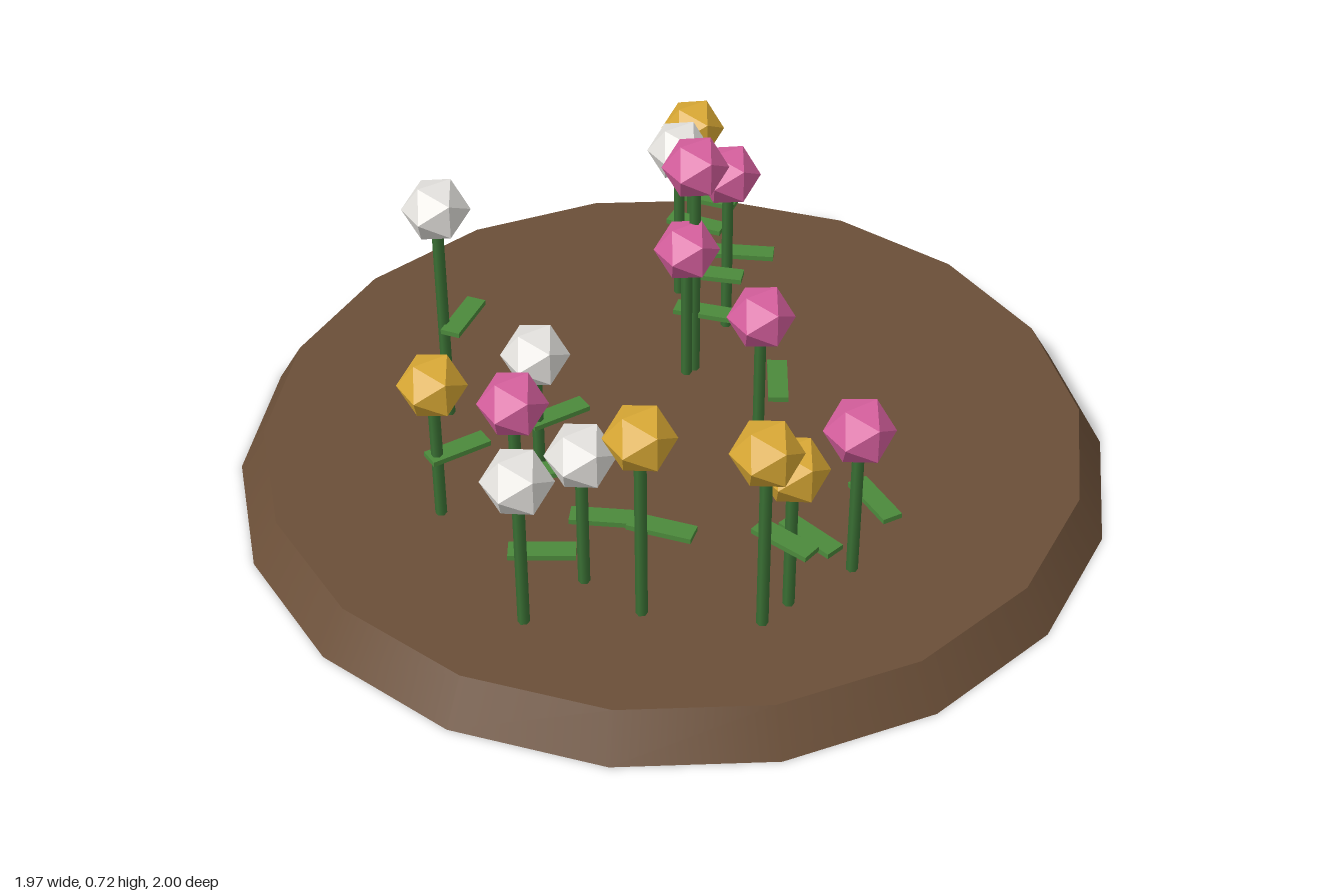
import * as THREE from 'three';

const paint = (color, flatShading = false) => new THREE.MeshStandardMaterial({ color, flatShading });

const BED_TOP = 0.1;

// x, z, blossom height, blossom colour
const FLOWERS = [
  [0.38, -0.51, 0.50, 'gold'],
  [0.29, -0.43, 0.51, 'white'],
  [0.31, -0.25, 0.53, 'pink'],
  [0.15, -0.145, 0.66, 'pink'],
  [0.125, -0.14, 0.45, 'pink'],
  [0.115, 0.175, 0.455, 'pink'],
  [0.045, 0.635, 0.475, 'pink'],
  [-0.13, 0.65, 0.46, 'gold'],
  [-0.21, 0.67, 0.55, 'gold'],
  [-0.405, 0.51, 0.565, 'gold'],
  [-0.455, 0.36, 0.44, 'white'],
  [-0.625, 0.4, 0.475, 'white'],
  [-0.505, 0.17, 0.47, 'pink'],
  [-0.605, 0, 0.45, 'gold'],
  [-0.355, 0, 0.43, 'white'],
  [-0.42, -0.305, 0.66, 'white'],
];

export function createModel() {
  const model = new THREE.Group();
  model.name = 'flowerBed';

  const add = (parent, name, geometry, material, x, y, z) => {
    const mesh = new THREE.Mesh(geometry, material);
    mesh.name = name;
    mesh.position.set(x, y, z);
    parent.add(mesh);
    return mesh;
  };

  // Soil mound
  add(model, 'soil', new THREE.CylinderGeometry(0.94, 1, BED_TOP, 18), paint(0x6b4f38), 0, BED_TOP / 2, 0);

  const stemPaint = paint(0x3a7034);
  const leafPaint = paint(0x4c8a3c);
  const petals = { gold: paint(0xdbaa35, true), white: paint(0xe6e4e0, true), pink: paint(0xd8609f, true) };
  const blossomShape = new THREE.IcosahedronGeometry(0.076, 0);
  const leafShape = new THREE.BoxGeometry(0.14, 0.012, 0.045);

  // Flowers: stem, one flat leaf beside it, faceted blossom
  for (const [x, z, top, color] of FLOWERS) {
    const flower = new THREE.Group();
    flower.name = 'flower';
    flower.position.set(x, BED_TOP, z);
    const height = top - BED_TOP;
    add(flower, 'stem', new THREE.CylinderGeometry(0.013, 0.013, height, 6), stemPaint, 0, height / 2, 0);
    const leaf = add(flower, 'leaf', leafShape, leafPaint, 0.05, height * 0.45, 0);
    leaf.rotation.y = Math.atan2(z, x);
    add(flower, 'blossom', blossomShape, petals[color], 0, height, 0);
    model.add(flower);
  }
  return model;
}
